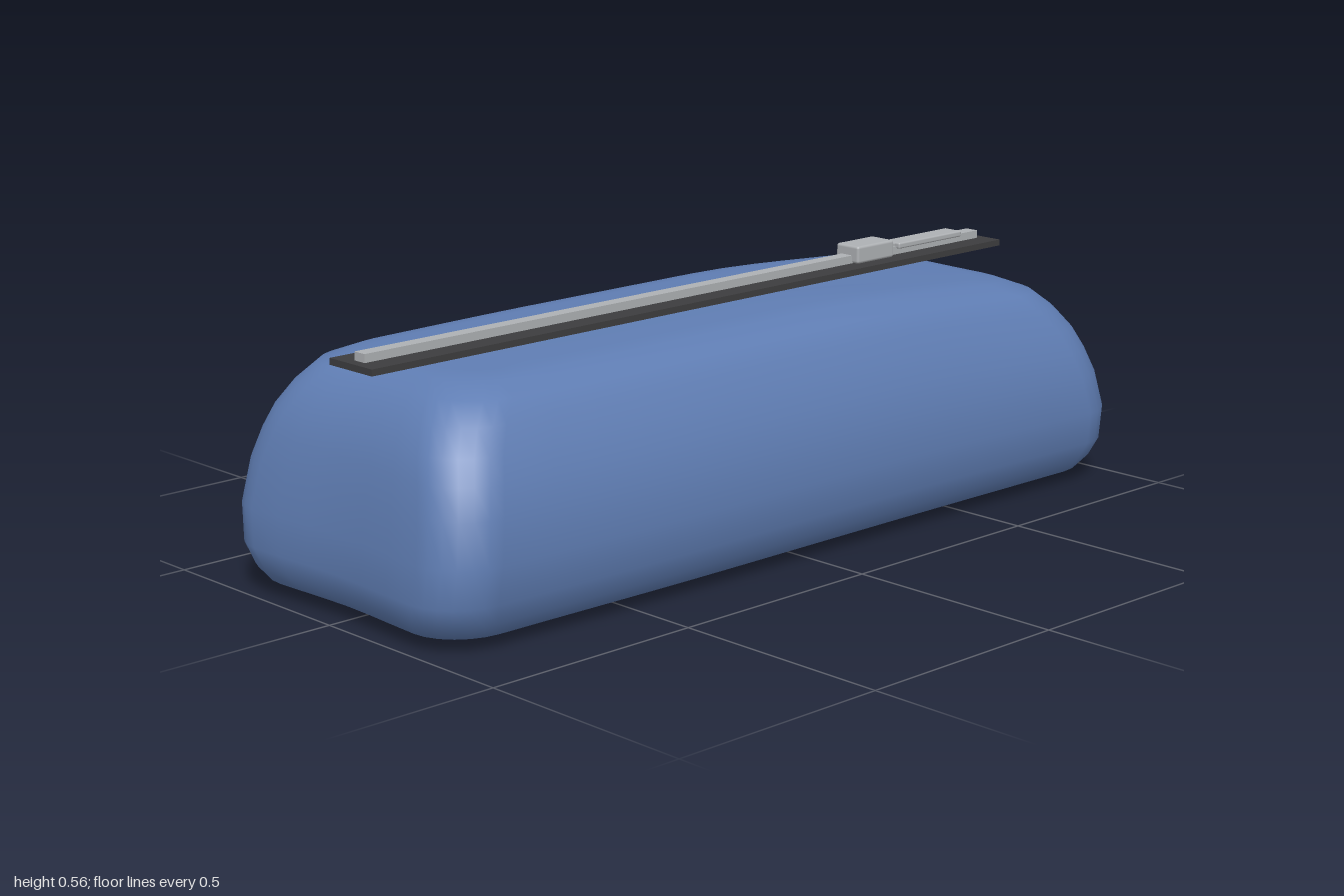
import * as THREE from 'three';
import { RoundedBoxGeometry } from 'three/addons/geometries/RoundedBoxGeometry.js';

const fabric = new THREE.MeshStandardMaterial({ name: 'blue fabric', color: 0x5f7db3 });
const tape = new THREE.MeshStandardMaterial({ name: 'dark zip tape', color: 0x3d3d3f });
const metal = new THREE.MeshStandardMaterial({ name: 'grey metal', color: 0xaeb1b4 });

const { smoothstep } = THREE.MathUtils;

// Soft padded body: rounded rectangles stacked from bottom to top [y, half length, half width]
const levels = [
  [0.014, 0, 0], [0.012, 0.45, 0.13], [0.008, 0.84, 0.235], [0.012, 0.905, 0.285],
  [0.036, 0.965, 0.352], [0.065, 0.985, 0.372], [0.11, 0.998, 0.391], [0.19, 0.993, 0.402],
  [0.28, 0.977, 0.388], [0.34, 0.96, 0.368], [0.39, 0.942, 0.345], [0.44, 0.91, 0.315],
  [0.48, 0.87, 0.283], [0.502, 0.82, 0.228], [0.509, 0.76, 0.18], [0.509, 0.4, 0.09], [0.509, 0, 0],
];

// Corners as arcs, with the sides between them subdivided
function ring(hx, hz) {
  const r = Math.min(0.12, hx * 0.5, hz * 0.5);
  const arcs = [[1, 1], [-1, 1], [-1, -1], [1, -1]].map(([sx, sz], q) =>
    Array.from({ length: 7 }, (_, k) => {
      const a = (q + k / 6) * Math.PI / 2;
      return [sx * (hx - r) + r * Math.cos(a), sz * (hz - r) + r * Math.sin(a)];
    }));
  return arcs.flatMap((arc, q) => {
    const end = arc[6], next = arcs[(q + 1) % 4][0], n = q % 2 ? 6 : 14;
    const side = Array.from({ length: n - 1 }, (_, k) => {
      const t = (k + 1) / n;
      return [end[0] + (next[0] - end[0]) * t, end[1] + (next[1] - end[1]) * t];
    });
    return [...arc, ...side];
  });
}

function bodyGeometry() {
  const pos = [], index = [];
  let n = 0;
  for (const [y0, hx, hz] of levels) {
    const pts = ring(hx, hz);
    n = pts.length;
    for (const [x0, z0] of pts) {
      // Slight sag to the right, narrower back left corner and hollow ends
      const h = y0 / 0.51;
      const y = y0 - 0.035 * h * smoothstep(x0, 0.2, 0.95) - 0.012 * h * z0;
      const z = z0 * (1 - (z0 < 0 ? 0.08 : 0.03) * smoothstep(-x0, 0.25, 0.95)) * (z0 > 0 ? 0.985 : 1);
      const x = x0 * (1 - 0.012 * smoothstep(Math.abs(x0), 0.7, 1) * (1 - smoothstep(Math.abs(z0), 0, 0.28)));
      pos.push(x, y, z);
    }
  }
  for (let j = 0; j < levels.length - 1; j++) {
    for (let i = 0; i < n; i++) {
      const a = j * n + i, b = j * n + (i + 1) % n;
      if (j < levels.length - 2) index.push(a, a + n, b + n);
      if (j > 0) index.push(a, b + n, b);
      if (j === levels.length - 2) index.push(a, a + n, b);
    }
  }
  const g = new THREE.BufferGeometry();
  g.setAttribute('position', new THREE.Float32BufferAttribute(pos, 3));
  g.setIndex(index);
  g.computeVertexNormals();
  return g;
}

function part(name, geometry, material, x, y, z = 0) {
  const m = new THREE.Mesh(geometry, material);
  m.name = name;
  m.position.set(x, y, z);
  return m;
}
const box = (w, h, d) => new THREE.BoxGeometry(w, h, d);

export function createModel() {
  const model = new THREE.Group();
  model.name = 'pencilCase';
  model.add(part('body', bodyGeometry(), fabric, 0, 0));

  // Zip along the top
  const zip = new THREE.Group();
  zip.name = 'zip';
  zip.add(
    part('zipTape', box(1.855, 0.014, 0.134), tape, -0.002, 0.519),
    part('zipTeeth', box(1.81, 0.018, 0.032), metal, -0.002, 0.535),
    part('zipSlider', new RoundedBoxGeometry(0.12, 0.04, 0.068, 2, 0.006), metal, 0.535, 0.546),
    part('pullLink', box(0.04, 0.01, 0.024), metal, 0.61, 0.545),
    part('pullTab', new RoundedBoxGeometry(0.215, 0.014, 0.05, 2, 0.004), metal, 0.73, 0.546),
  );
  model.add(zip);
  return model;
}
